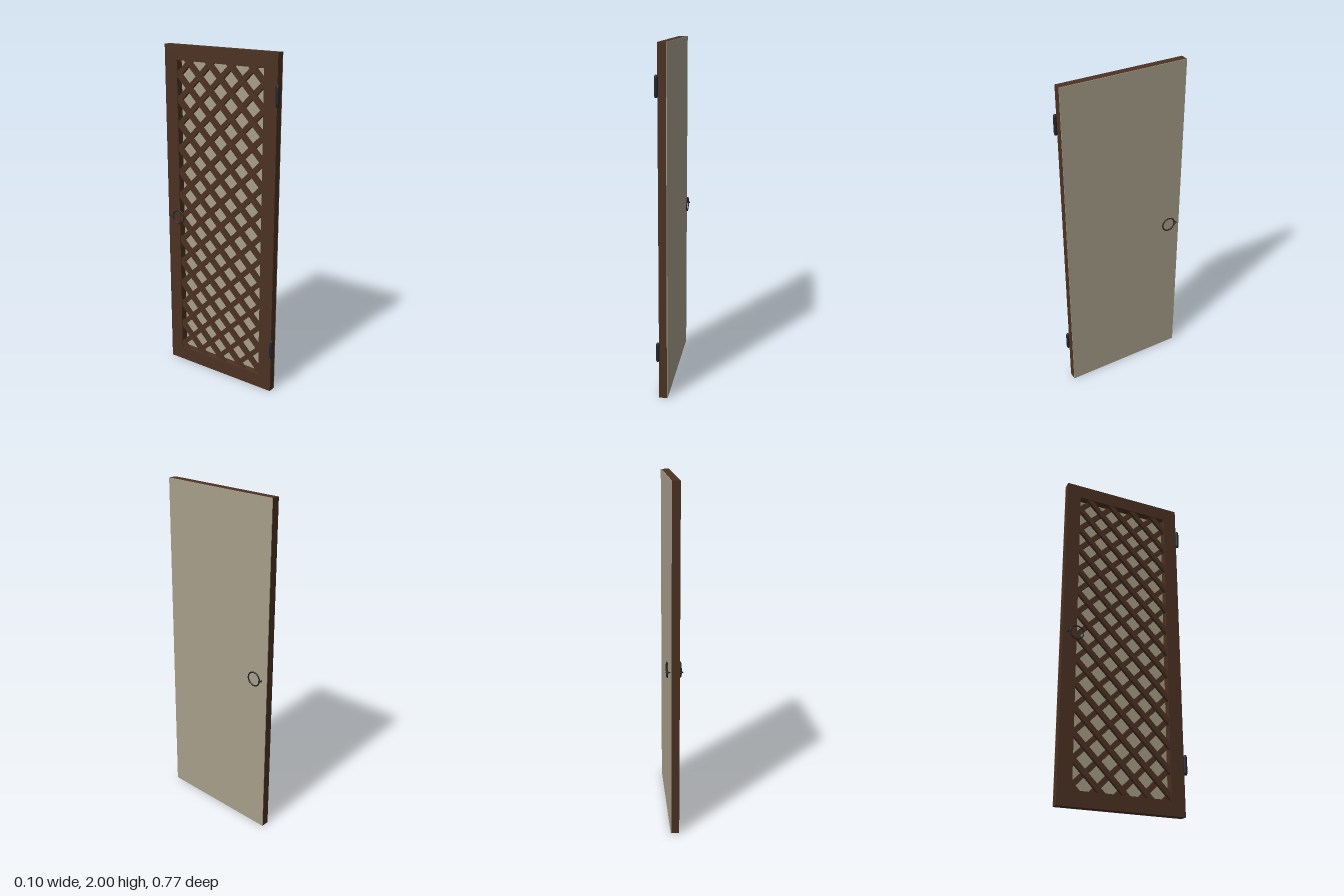
import * as THREE from 'three';

const wood = new THREE.MeshStandardMaterial({ color: 0x4c3122 });
wood.name = 'dark wood';
const cloth = new THREE.MeshStandardMaterial({ color: 0xa79e89 });
cloth.name = 'pale panel';
const iron = new THREE.MeshStandardMaterial({ color: 0x25232a });
iron.name = 'black iron';

const Z0 = -0.385, Z1 = 0.365, H = 2, RAIL = 0.085;
const BACK = -0.027, JOIN = 0.018, FACE = 0.022;

function add(parent, name, geometry, material, x = 0, y = 0, z = 0) {
  const mesh = new THREE.Mesh(geometry, material);
  mesh.name = name;
  mesh.position.set(x, y, z);
  parent.add(mesh);
  return mesh;
}

// Rectangle path in (z, y)
function rect(path, z0, y0, z1, y1) {
  path.moveTo(z0, y0);
  path.lineTo(z1, y0);
  path.lineTo(z1, y1);
  path.lineTo(z0, y1);
  path.closePath();
  return path;
}

function createFrame(group) {
  const shape = rect(new THREE.Shape(), Z0, 0, Z1, H);
  shape.holes.push(rect(new THREE.Path(), Z0 + RAIL, RAIL, Z1 - RAIL, H - RAIL));
  const geo = new THREE.ExtrudeGeometry(shape, { depth: JOIN - BACK, bevelEnabled: false });
  geo.rotateY(-Math.PI / 2);
  add(group, 'frame', geo, wood, JOIN);
}

// Diagonal bars, cut to the opening, one layer per direction
function createLattice(group) {
  const lattice = new THREE.Group();
  lattice.name = 'lattice';
  const a = Z0 + RAIL, b = Z1 - RAIL, lo = RAIL, hi = H - RAIL;
  const step = 0.144, width = 0.03, depth = 0.019;
  for (const dir of [-1, 1]) {
    const x = dir < 0 ? -0.0125 : 0.0065;
    for (let c = lo - 0.55; c < hi + 0.6; c += step) {
      // bar line: y = c + dir * (z - zStart)
      const zStart = a;
      const zAt = (y) => zStart + (y - c) / dir;
      const zMin = Math.max(a, Math.min(zAt(lo), zAt(hi)));
      const zMax = Math.min(b, Math.max(zAt(lo), zAt(hi)));
      if (zMax - zMin < 0.02) continue;
      const mid = (zMin + zMax) / 2;
      const length = (zMax - zMin) * Math.SQRT2 + width;
      const bar = add(lattice, dir < 0 ? 'outerBar' : 'innerBar',
        new THREE.BoxGeometry(depth, width, length), wood, x, c + dir * (mid - zStart), mid);
      bar.rotation.x = -dir * Math.PI / 4;
    }
  }
  group.add(lattice);
}

// Ring pull hanging sideways from an eye bolt
function createHandle(group, side) {
  const handle = new THREE.Group();
  handle.name = side > 0 ? 'leftRingHandle' : 'rightRingHandle';
  const y = 0.98, x = side * 0.037;
  const ring = new THREE.TorusGeometry(0.0405, 0.004, 8, 32).rotateY(Math.PI / 2);
  add(handle, 'ring', ring, iron, x, y, -0.303);
  const eye = new THREE.TorusGeometry(0.0085, 0.003, 8, 16).rotateX(Math.PI / 2);
  add(handle, 'eye', eye, iron, x, y, -0.348);
  const inner = side > 0 ? 0.018 : 0.024;
  const stem = new THREE.CylinderGeometry(0.003, 0.003, 0.029 - inner, 8).rotateZ(Math.PI / 2);
  add(handle, 'stem', stem, iron, side * (0.029 + inner) / 2, y, -0.348);
  group.add(handle);
}

// Hinge barrel with rounded ends
function createHinge(group, y, name) {
  const profile = [[0, -0.06], [0.006, -0.058], [0.0095, -0.05], [0.0105, -0.04],
    [0.0105, 0.04], [0.0095, 0.05], [0.006, 0.058], [0, 0.06]]
    .map(([r, h]) => new THREE.Vector2(r, h));
  add(group, name, new THREE.LatheGeometry(profile, 10), iron, -0.033, y, 0.37);
}

export function createModel() {
  const door = new THREE.Group();
  door.name = 'latticeDoor';
  createFrame(door);
  createLattice(door);
  add(door, 'panel', new THREE.BoxGeometry(FACE - JOIN, H, Z1 - Z0), cloth,
    (FACE + JOIN) / 2, H / 2, (Z0 + Z1) / 2);
  for (const side of [-1, 1]) createHandle(door, side);
  createHinge(door, 1.78, 'upperHinge');
  createHinge(door, 0.29, 'lowerHinge');
  return door;
}
